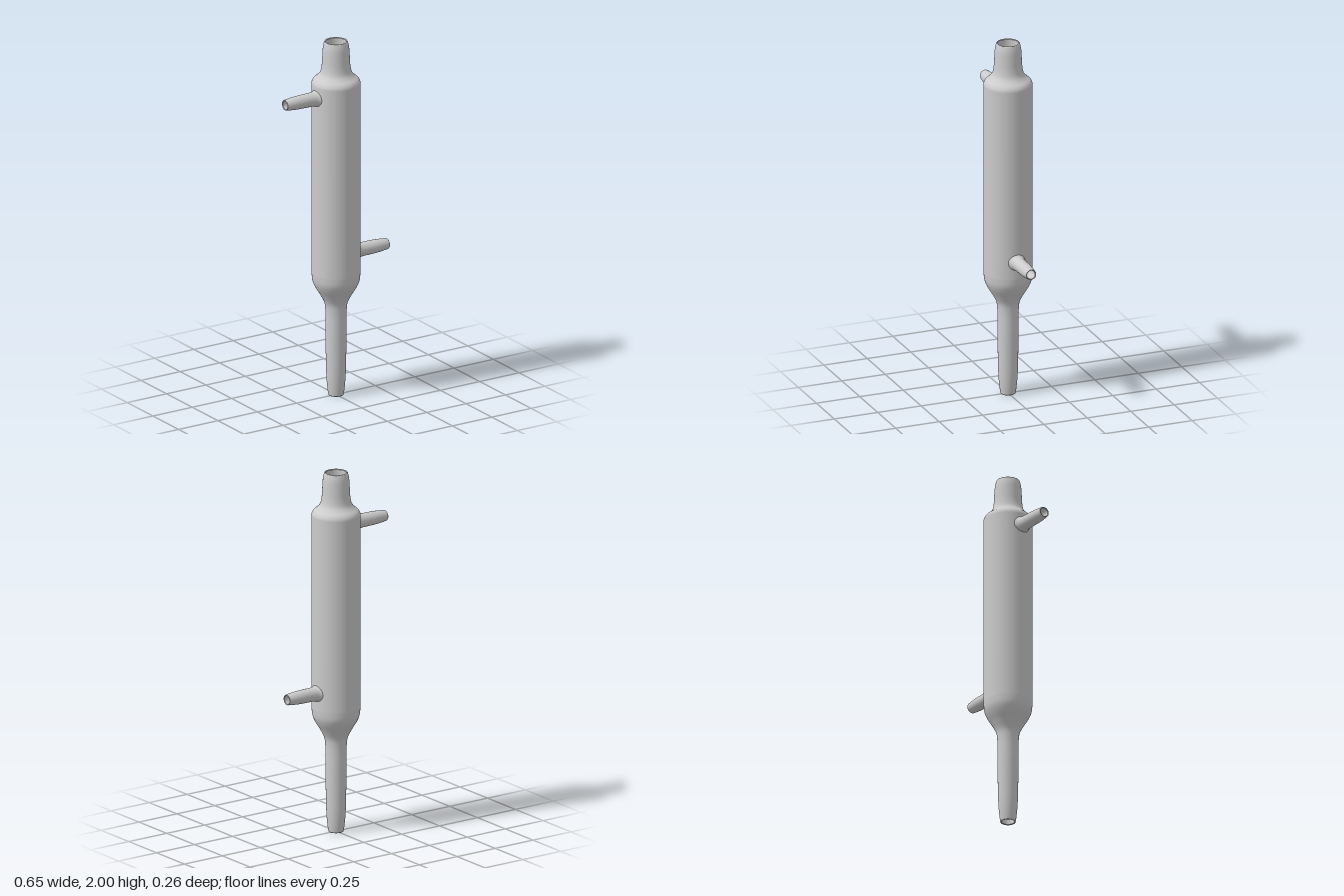
import * as THREE from 'three';

const material = new THREE.MeshStandardMaterial({ color: 0xcccccc, side: THREE.DoubleSide });

// smooth run of [radius, height] points
function smooth(points, divisions = 24) {
  const curve = new THREE.CatmullRomCurve3(points.map(([r, y]) => new THREE.Vector3(r, y, 0)));
  return curve.getPoints(divisions).map(p => new THREE.Vector2(p.x, p.y));
}

const line = points => points.map(([r, y]) => new THREE.Vector2(r, y));

function turned(name, profile, segments = 48) {
  const mesh = new THREE.Mesh(new THREE.LatheGeometry(profile, segments), material);
  mesh.name = name;
  return mesh;
}

// hollow hose nozzle pointing along +x (side 1) or -x (side -1)
function makeNozzle(name, side, height) {
  const group = new THREE.Group();
  group.name = name;
  group.add(
    turned('nozzleWall', smooth([
      [0.051, 0.116], [0.047, 0.125], [0.041, 0.137], [0.038, 0.155],
      [0.037, 0.2], [0.036, 0.25], [0.033, 0.29], [0.029, 0.323]
    ]), 32),
    turned('nozzleRim', line([[0.029, 0.323], [0.0275, 0.325], [0.025, 0.325], [0.0235, 0.322]]), 32),
    turned('nozzleBore', line([[0.0235, 0.322], [0.028, 0.28], [0.029, 0.12]]), 32)
  );
  group.rotation.z = -side * Math.PI / 2;
  group.position.y = height;
  return group;
}

export function createModel() {
  const model = new THREE.Group();
  model.name = 'condenser';

  // outer jacket: drip tube, shoulder, straight body, shoulder, neck
  const lower = smooth([
    [0.041, 0.003], [0.046, 0.04], [0.051, 0.1], [0.054, 0.2], [0.056, 0.35],
    [0.057, 0.48], [0.063, 0.525], [0.085, 0.57], [0.112, 0.615], [0.126, 0.65], [0.131, 0.7]
  ], 50);
  const upper = smooth([
    [0.131, 1.75], [0.13, 1.77], [0.121, 1.787], [0.1, 1.805], [0.085, 1.825],
    [0.077, 1.86], [0.073, 1.92], [0.07, 1.965], [0.065, 1.99], [0.063, 1.997]
  ], 40);
  model.add(turned('jacket', [...lower, ...upper]));

  // rounded mouth rims
  model.add(turned('topRim', line([[0.063, 1.997], [0.061, 2], [0.057, 2], [0.055, 1.997]])));
  model.add(turned('bottomRim', line([[0.041, 0.003], [0.039, 0], [0.036, 0], [0.034, 0.003]])));

  // inner walls of both mouths, closed inside the body
  model.add(turned('neckBore', smooth([
    [0.055, 1.997], [0.056, 1.95], [0.055, 1.88], [0.05, 1.83], [0.043, 1.79], [0.042, 1.7]
  ])));
  model.add(turned('neckFloor', line([[0, 1.7], [0.042, 1.7]])));
  model.add(turned('dripBore', smooth([
    [0.034, 0.003], [0.039, 0.06], [0.043, 0.15], [0.045, 0.3], [0.045, 0.5]
  ])));
  model.add(turned('dripCeiling', line([[0.045, 0.5], [0, 0.5]])));

  // coolant nozzles
  model.add(makeNozzle('upperNozzle', -1, 1.7), makeNozzle('lowerNozzle', 1, 0.79));
  return model;
}
